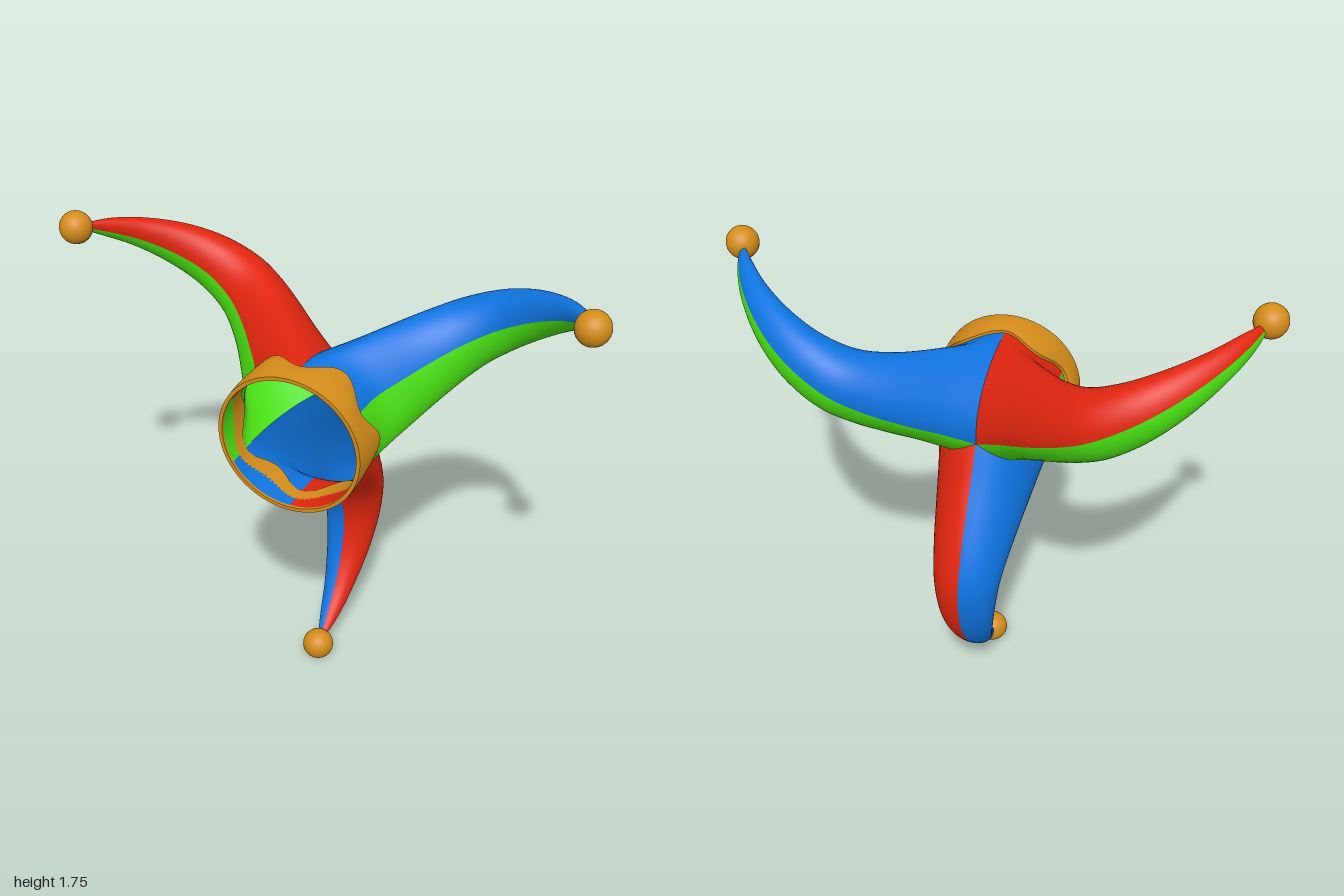
import * as THREE from 'three';

const RED = 0xe0260f, BLUE = 0x0f74e0, GREEN = 0x48de12, GOLD = 0xd48c1a;
const CENTRE_Y = 1.15, RIM_R = 0.253, RIM_Z = 0.24, APEX_Z = -0.11;
const ROWS = 48, COLS = 48;

const material = (color) => new THREE.MeshStandardMaterial({ color, side: THREE.DoubleSide });

// Horn profiles in its plane of symmetry: [distance from axis, z, half width]
const curve = (pts) => new THREE.CatmullRomCurve3(pts.map((p) => new THREE.Vector3(p[0], p[1], p[2] ?? 0)));
const backEdge = curve([
  [0, APEX_Z, 0.19], [0.12, -0.17, 0.17], [0.25, -0.243, 0.155], [0.39, -0.308, 0.14], [0.53, -0.343, 0.125],
  [0.69, -0.32, 0.108], [0.83, -0.25, 0.087], [0.96, -0.134, 0.06], [1.04, -0.02, 0.038], [1.085, 0.085, 0.012],
]);
const innerEdge = curve([
  [RIM_R, RIM_Z], [0.27, 0.13], [0.34, 0.045], [0.43, -0.045], [0.53, -0.115],
  [0.65, -0.147], [0.78, -0.125], [0.91, -0.06], [1.0, 0.015], [1.075, 0.09],
]);

// Elliptical section of the horn, as (radial, tangential, z)
function tubePoint(s, phi) {
  const a = backEdge.getPoint(s), b = innerEdge.getPoint(s), c = Math.cos(phi);
  return new THREE.Vector3(
    (a.x + b.x) / 2 + c * (a.x - b.x) / 2,
    Math.sin(phi) * a.z,
    (a.y + b.y) / 2 + c * (a.y - b.y) / 2);
}

// Base loop: down the domed seam from the apex, then along a third of the rim
function basePoint(phi) {
  const side = phi > Math.PI ? -1 : 1;
  const u = (side > 0 ? phi : 2 * Math.PI - phi) / Math.PI;
  const corner = 0.5;
  let r = RIM_R, z = RIM_Z, angle = Math.PI / 3;
  if (u < corner) {
    const a = (u / corner) * Math.PI / 2;
    r = RIM_R * Math.sin(a) ** 0.75;
    z = RIM_Z - (RIM_Z - APEX_Z) * Math.cos(a);
  } else angle *= (1 - u) / (1 - corner);
  return new THREE.Vector3(r * Math.cos(angle), side * r * Math.sin(angle), z);
}

// One horn: a loft from the base loop to the tip, split into two coloured halves
function makeHorn(angle, colors) {
  const horn = new THREE.Group();
  horn.name = 'horn';
  const position = [], halves = [[], []];
  for (let i = 0; i <= ROWS; i++) {
    const s = i / ROWS, blend = 1 - THREE.MathUtils.smoothstep(s, 0, 0.5);
    for (let j = 0; j < COLS; j++) {
      const phi = (j / COLS) * Math.PI * 2;
      const offset = basePoint(phi).sub(tubePoint(0, phi));
      position.push(...tubePoint(s, phi).addScaledVector(offset, blend).toArray());
      if (i === ROWS) continue;
      const a = i * COLS + j, b = i * COLS + (j + 1) % COLS;
      halves[j < COLS / 2 ? 0 : 1].push(a, b, a + COLS, b, b + COLS, a + COLS);
    }
  }
  const whole = new THREE.BufferGeometry();
  whole.setAttribute('position', new THREE.Float32BufferAttribute(position, 3));
  whole.setIndex([...halves[0], ...halves[1]]);
  whole.computeVertexNormals();

  halves.forEach((index, k) => {
    const geometry = new THREE.BufferGeometry();
    geometry.setAttribute('position', whole.attributes.position);
    geometry.setAttribute('normal', whole.attributes.normal);
    geometry.setIndex(index);
    const half = new THREE.Mesh(geometry, material(colors[k]));
    half.name = 'hornHalf';
    horn.add(half);

    // Fabric band continuing inside the cuff
    const depth = 0.1;
    const band = new THREE.CylinderGeometry(RIM_R, RIM_R, depth, 16, 1, true,
      Math.PI / 2 - (k ? Math.PI / 3 : 0), Math.PI / 3);
    band.rotateX(Math.PI / 2);
    const lining = new THREE.Mesh(band, material(colors[k]));
    // After the turn, theta runs from -y towards +x, so quarter turn lands on +x
    lining.position.z = RIM_Z + depth / 2;
    lining.name = 'lining';
    horn.add(lining);
  });

  // Bell on the tip
  const bell = new THREE.Mesh(new THREE.SphereGeometry(0.06, 32, 20), material(GOLD));
  bell.position.set(1.088, 0, 0.11);
  bell.name = 'bell';
  horn.add(bell);

  horn.rotation.z = angle;
  return horn;
}

// Cuff: a thin band whose back edge is scalloped in six waves
function makeCuff() {
  const segments = 144, position = [], index = [];
  const sections = 4, perSection = 7;
  for (let k = 0; k < sections; k++) {
    for (let i = 0; i <= segments; i++) {
      const t = (i / segments) * Math.PI * 2, wave = Math.cos(6 * t);
      const back = 0.213 - 0.033 * wave, flare = 0.268 + 0.005 * wave;
      // Corners: outer front, outer back, inner back, inner front
      const corners = [[0.268, 0.35], [flare, back], [0.252, back], [0.254, 0.35]];
      const [p, q] = [corners[k], corners[(k + 1) % 4]];
      for (let m = 0; m < perSection; m++) {
        const f = m / (perSection - 1);
        const bulge = k === 0 ? 0.005 * Math.sin(Math.PI * f) : 0;
        const r = p[0] + (q[0] - p[0]) * f + bulge;
        position.push(r * Math.cos(t), r * Math.sin(t), p[1] + (q[1] - p[1]) * f);
        if (i === segments || m === perSection - 1) continue;
        const a = (k * (segments + 1) + i) * perSection + m, b = a + perSection;
        index.push(a, a + 1, b, b, a + 1, b + 1);
      }
    }
  }
  const geometry = new THREE.BufferGeometry();
  geometry.setAttribute('position', new THREE.Float32BufferAttribute(position, 3));
  geometry.setIndex(index);
  geometry.computeVertexNormals();
  const cuff = new THREE.Mesh(geometry, material(GOLD));
  cuff.name = 'cuff';
  return cuff;
}

export function createModel() {
  const hat = new THREE.Group();
  hat.name = 'jesterHat';
  // Colours: counter-clockwise half first
  const horns = [[30, [BLUE, GREEN]], [150, [GREEN, RED]], [270, [RED, BLUE]]];
  for (const [deg, colors] of horns) hat.add(makeHorn(THREE.MathUtils.degToRad(deg), colors));
  hat.add(makeCuff());
  hat.position.y = CENTRE_Y;
  const model = new THREE.Group();
  model.add(hat);
  return model;
}
